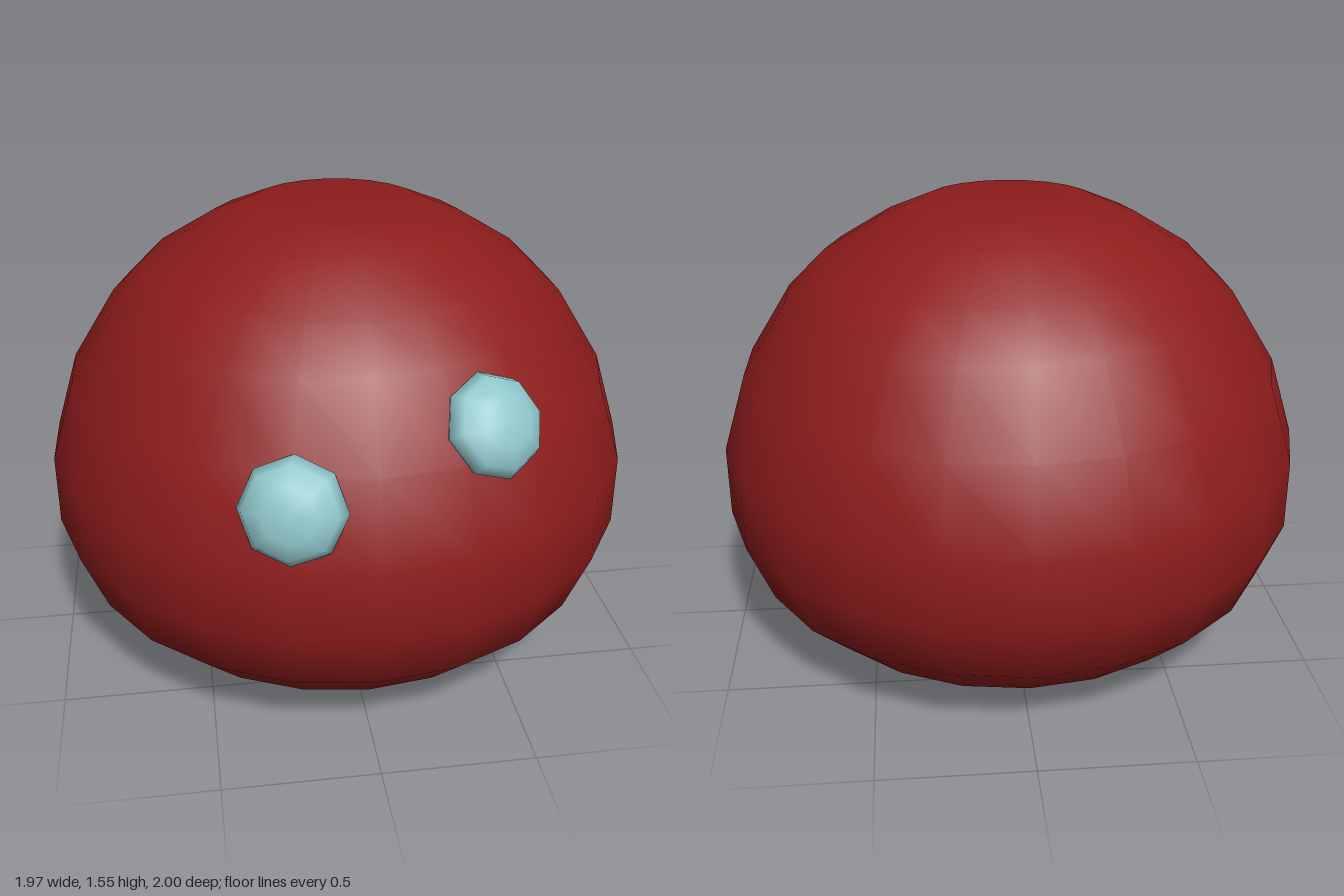
import * as THREE from 'three';

// Squat dome profile: [radius, height], bottom to top
const PROFILE = [
  [0, 0], [0.285, 0.005], [0.543, 0.046], [0.76, 0.135], [0.913, 0.284],
  [0.997, 0.495], [0.997, 0.735], [0.914, 1.0], [0.763, 1.24],
  [0.635, 1.367], [0.437, 1.488], [0.283, 1.553], [0, 1.553],
];

// Flattened low-poly ball whose short axis points along the surface normal
function makeEye(name, material, position, normal) {
  const geometry = new THREE.SphereGeometry(1, 8, 6);
  geometry.rotateX(Math.PI / 2);
  geometry.scale(0.165, 0.165, 0.09);
  const eye = new THREE.Mesh(geometry, material);
  eye.name = name;
  eye.position.set(...position);
  eye.lookAt(eye.position.clone().add(new THREE.Vector3(...normal)));
  return eye;
}

export function createModel() {
  const model = new THREE.Group();
  model.name = 'blobCreature';
  const red = new THREE.MeshStandardMaterial({ color: 0x8e1c1c });
  const blue = new THREE.MeshStandardMaterial({ color: 0x8fc6ca });

  // Body: 22-sided smooth dome with flat top and bottom
  const points = PROFILE.map(([r, y]) => new THREE.Vector2(r, y));
  const body = new THREE.Mesh(new THREE.LatheGeometry(points, 22), red);
  body.name = 'body';
  body.position.z = -0.003;
  model.add(body);

  // Eyes: set unevenly on the front
  model.add(makeEye('leftEye', blue, [0.355, 1.083, 0.783], [0.357, 0.537, 0.765]));
  model.add(makeEye('rightEye', blue, [-0.253, 0.91, 0.897], [-0.253, 0.296, 0.92]));

  return model;
}
